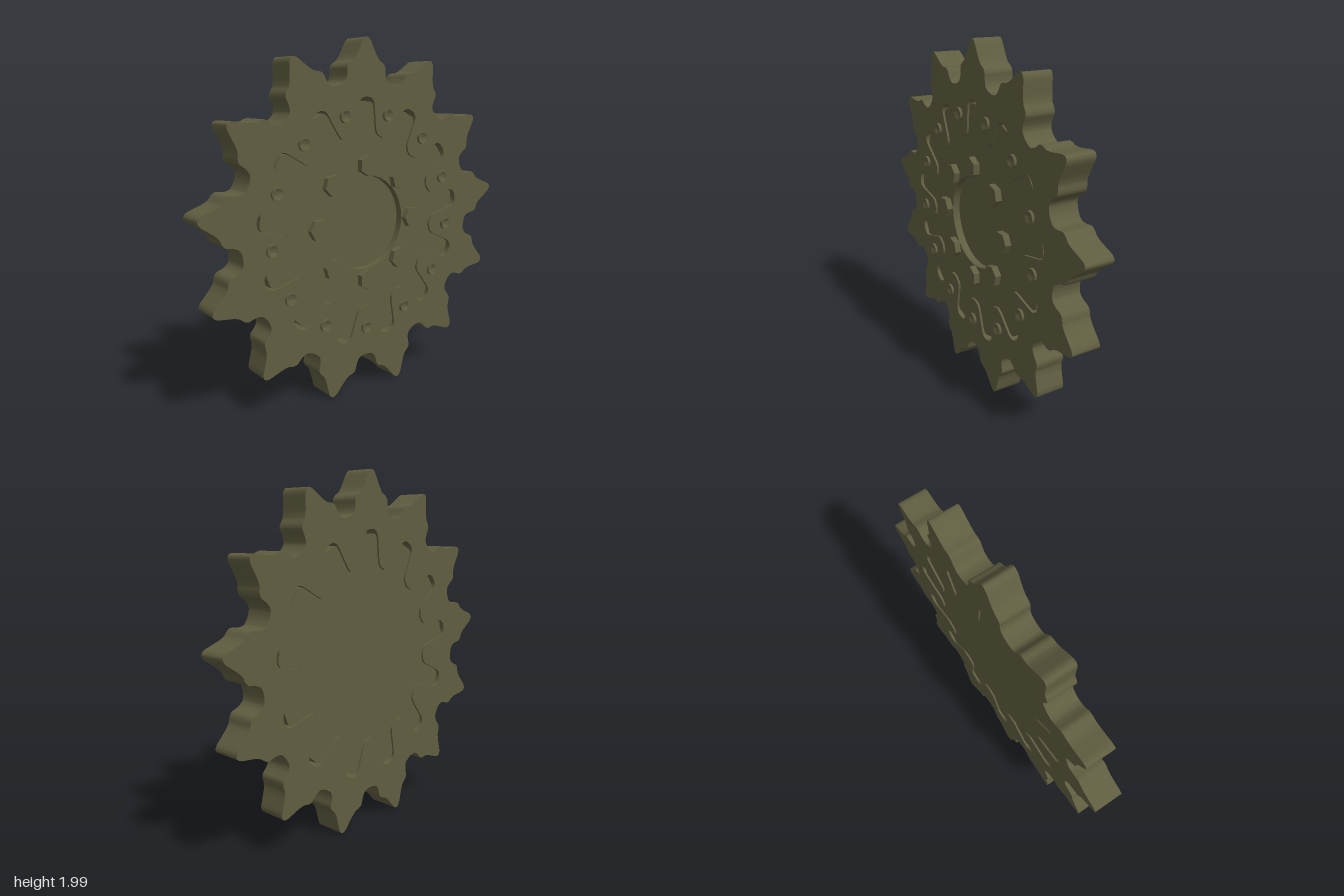
import * as THREE from 'three';
import { toCreasedNormals } from 'three/addons/utils/BufferGeometryUtils.js';

const TEETH = 13;
const CENTRE_Y = 0.978;
const BACK = -0.095, FRONT = 0.07;
const HUB_BACK = -0.085, HUB_FRONT = 0.058;

const metal = new THREE.MeshStandardMaterial({ color: 0x5f5d40 });

// Closed smooth outline from half a tooth (tip first, valley middle last),
// mirrored, repeated around the wheel and returned counter-clockwise.
function gearOutline(half) {
  const tooth = [
    ...half.slice(1, -1).reverse().map(([x, y]) => [-x, y]),
    ...half,
  ];
  const points = [];
  for (let i = 0; i < TEETH; i++) {
    const a = -i * Math.PI * 2 / TEETH, c = Math.cos(a), s = Math.sin(a);
    for (const [x, y] of tooth) points.push(new THREE.Vector3(x * c - y * s, x * s + y * c, 0));
  }
  const curve = new THREE.CatmullRomCurve3(points, true, 'centripetal');
  const outline = curve.getPoints(points.length * 4).map(p => new THREE.Vector2(p.x, p.y));
  outline.pop();
  return outline.reverse();
}

function plate(outline, hole, z0, z1) {
  const shape = new THREE.Shape(outline);
  shape.holes.push(hole);
  const geo = new THREE.ExtrudeGeometry(shape, { depth: z1 - z0, bevelEnabled: false, curveSegments: 64 });
  geo.translate(0, 0, z0);
  return toCreasedNormals(geo, 0.6);
}

function add(parent, name, geometry) {
  const mesh = new THREE.Mesh(geometry, metal);
  mesh.name = name;
  parent.add(mesh);
  return mesh;
}

// Places copies evenly around the axle, each turned to point outwards.
function ringOf(parent, name, count, radius, z, startAngle, geometry) {
  for (let i = 0; i < count; i++) {
    const a = startAngle + i * Math.PI * 2 / count;
    const item = add(parent, name, geometry);
    item.position.set(radius * Math.cos(a), radius * Math.sin(a), z);
    item.rotation.z = a;
  }
}

export function createModel() {
  const model = new THREE.Group();
  model.name = 'sprocket';
  const wheel = new THREE.Group();
  wheel.name = 'wheel';
  wheel.position.y = CENTRE_Y;
  model.add(wheel);

  // Toothed ring with a slotted opening
  const teeth = gearOutline([
    [0, 1.007], [0.02, 0.996], [0.045, 0.953], [0.068, 0.911], [0.088, 0.886], [0.113, 0.87],
    [0.127, 0.852], [0.129, 0.818], [0.134, 0.79], [0.1455, 0.771], [0.163, 0.7605], [0.1855, 0.7525],
  ]);
  // Rounded sides shared by the slots and the hub arms
  const sides = [[0.057, 0.61], [0.062, 0.55], [0.066, 0.515], [0.075, 0.492], [0.09, 0.481], [0.115, 0.4668]];
  const slots = gearOutline([[0, 0.694], [0.03, 0.688], [0.048, 0.67], [0.054, 0.645], ...sides]);
  add(wheel, 'toothedRing', plate(teeth, new THREE.Path(slots), BACK, FRONT));

  // Hub with short arms that sit in the slots, and a recessed centre
  const arms = gearOutline([
    [0, 0.668], [0.036, 0.667], [0.047, 0.657], [0.053, 0.64],
    ...sides.map(([x, y]) => [x - 0.001, y - 0.001]).slice(0, -1), [0.1147, 0.4657],
  ]);
  const bore = new THREE.Path().absarc(0, 0, 0.265, 0, Math.PI * 2, true);
  add(wheel, 'hub', plate(arms, bore, HUB_BACK, HUB_FRONT));
  const floorZ = 0.015;
  const floor = new THREE.CylinderGeometry(0.265, 0.265, floorZ - HUB_BACK, 128).rotateX(Math.PI / 2);
  add(wheel, 'hubCentre', floor).position.z = (floorZ + HUB_BACK) / 2;

  // Hexagonal hub bolts
  const hubBolt = new THREE.CylinderGeometry(0.06, 0.06, 0.036, 6).toNonIndexed();
  hubBolt.computeVertexNormals();
  hubBolt.rotateX(Math.PI / 2).rotateZ(Math.PI / 2).translate(0, 0, 0.018);
  ringOf(wheel, 'hubBolt', 8, 0.325, HUB_FRONT, 0, hubBolt);

  // Round bolts with dished heads on the ring between the hub arms
  const head = [[0.036, 0], [0.036, 0.015], [0.029, 0.015], [0.013, 0.006], [0, 0.005]];
  const ringBolt = toCreasedNormals(
    new THREE.LatheGeometry(head.map(p => new THREE.Vector2(...p)), 24).rotateX(Math.PI / 2).toNonIndexed(), 0.5);
  ringOf(wheel, 'ringBolt', TEETH, 0.61, FRONT, Math.PI / 2 + Math.PI / TEETH, ringBolt);

  return model;
}
